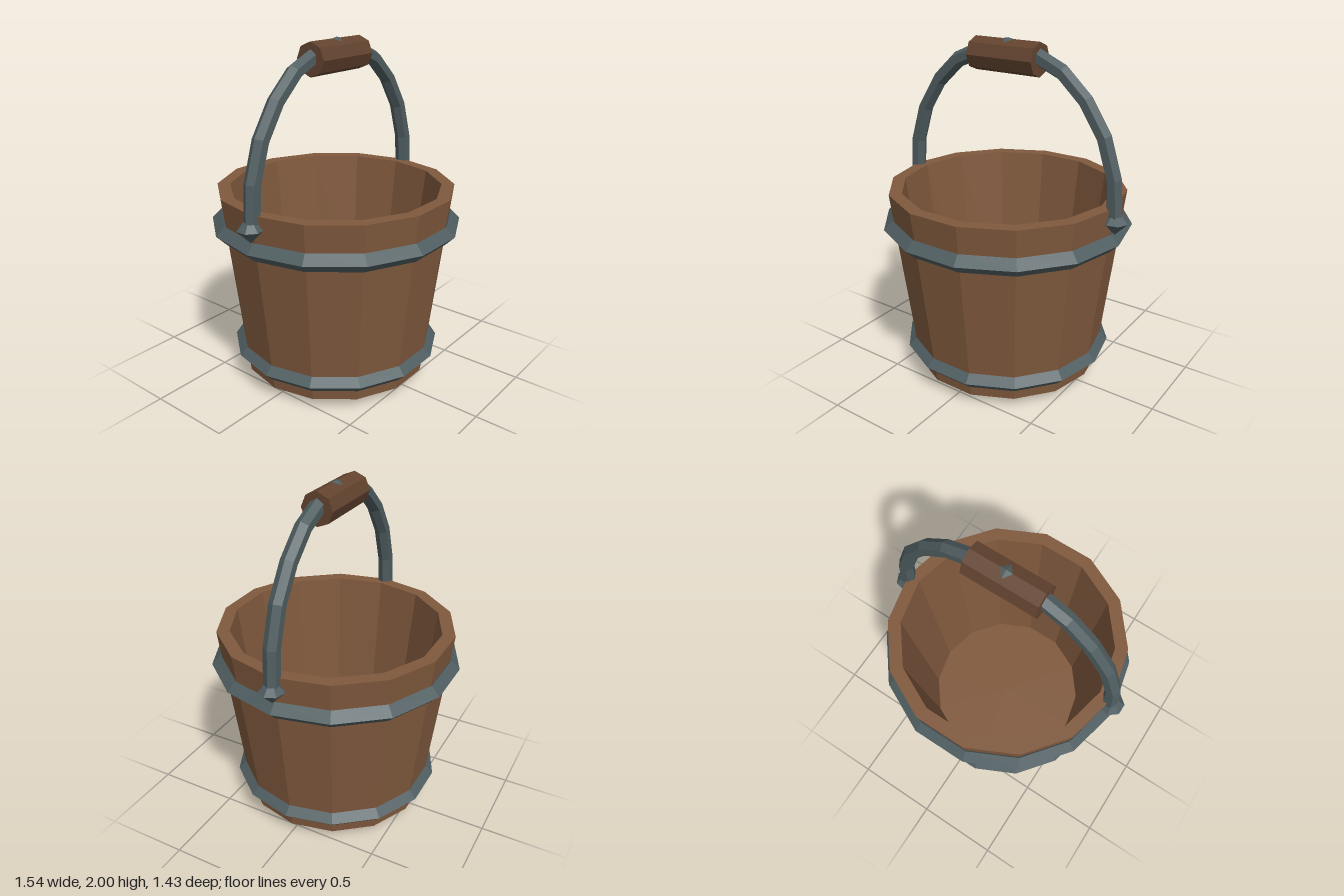
import * as THREE from 'three';

const paint = (color) => new THREE.MeshStandardMaterial({ color, flatShading: true });
const wood = paint(0x80593d);
const darkWood = paint(0x62432f);
const iron = paint(0x4f5d60);

function part(name, geometry, material, x = 0, y = 0) {
  const mesh = new THREE.Mesh(geometry, material);
  mesh.name = name;
  mesh.position.set(x, y, 0);
  return mesh;
}

// Turned profile of [radius, height] pairs, listed bottom, outside, top, inside
function turned(profile, sides) {
  const points = profile.map(([r, y]) => new THREE.Vector2(r, y));
  return new THREE.LatheGeometry(points, sides, Math.PI / 2);
}

// Hexagonal bar swept along a path in the x-y plane, mitred at each bend
function bentBar(path, radius, sides = 6) {
  const positions = [], index = [];
  const pts = path.map(([x, y]) => new THREE.Vector2(x, y));
  pts.forEach((p, i) => {
    const a = pts[Math.max(i - 1, 0)], b = pts[Math.min(i + 1, pts.length - 1)];
    const t = b.clone().sub(a).normalize();
    for (let j = 0; j < sides; j++) {
      const angle = (j / sides) * Math.PI * 2;
      const out = radius * Math.cos(angle);
      positions.push(p.x - t.y * out, p.y + t.x * out, radius * Math.sin(angle));
      if (i < pts.length - 1) {
        const k = (j + 1) % sides, row = i * sides;
        index.push(row + j, row + k, row + sides + j);
        index.push(row + k, row + sides + k, row + sides + j);
      }
    }
  });
  const geometry = new THREE.BufferGeometry();
  geometry.setAttribute('position', new THREE.Float32BufferAttribute(positions, 3));
  geometry.setIndex(index);
  geometry.computeVertexNormals();
  return geometry;
}

export function createModel() {
  const group = new THREE.Group();
  group.name = 'bucket';
  const cx = -0.005;

  // Tapered tub with bevelled foot, thick rim and inner floor
  const tub = turned([
    [0, 0], [0.445, 0], [0.562, 0.06], [0.692, 1.16],
    [0.617, 1.16], [0.492, 0.1], [0, 0.1],
  ], 14);
  group.add(part('tub', tub, wood, cx));

  // Two iron hoops with a diamond section
  for (const [name, r, y] of [['lowerHoop', 0.574, 0.173], ['upperHoop', 0.68, 0.952]]) {
    const s = 0.052;
    const hoop = turned([[r, -s], [r + s, 0], [r, s], [r - s, 0], [r, -s]], 14);
    group.add(part(name, hoop, iron, cx, y));
  }

  // Arched handle, mirrored about the middle
  const half = [[0.693, 1.09], [0.677, 1.32], [0.608, 1.535], [0.49, 1.715], [0.345, 1.848], [0.19, 1.915]];
  const arch = [...half.map(([x, y]) => [-x, y]), [0, 1.953], ...half.slice().reverse()];
  group.add(part('handle', bentBar(arch, 0.046), iron));

  // Pointed knobs at the handle ends
  const knob = turned([[0, -0.075], [0.074, 0], [0.04, 0.038], [0, 0.038]], 7);
  group.add(part('rightKnob', knob, iron, -0.705, 1.085));
  group.add(part('leftKnob', knob, iron, 0.698, 1.085));

  // Octagonal wooden grip
  const grip = new THREE.CylinderGeometry(0.094, 0.094, 0.425, 8).rotateZ(Math.PI / 2);
  group.add(part('grip', grip, darkWood, -0.006, 1.898));

  return group;
}
